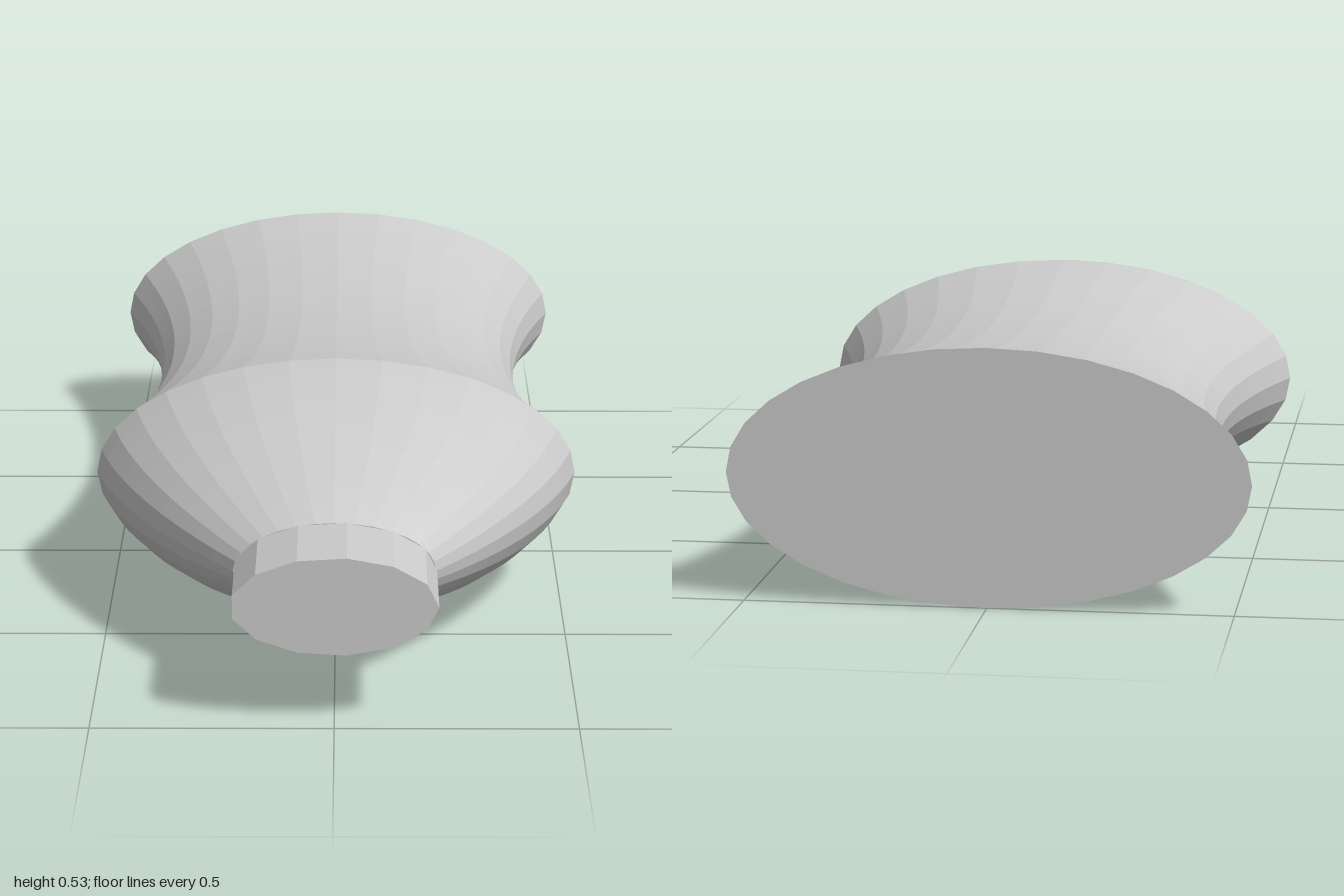
import * as THREE from 'three';

const material = new THREE.MeshStandardMaterial({ color: 0xcccccc, flatShading: true });

// Flattened lathe lying along z; points are [radius, z] from back to front
function flatLathe(name, points, sides) {
  const geometry = new THREE.LatheGeometry(points.map(([r, z]) => new THREE.Vector2(r, z)), sides, Math.PI / 2);
  geometry.rotateX(Math.PI / 2);
  geometry.scale(1, 0.5, 1);
  geometry.translate(0, 0.267, 0);
  const mesh = new THREE.Mesh(geometry, material);
  mesh.name = name;
  return mesh;
}

export function createModel() {
  const group = new THREE.Group();
  group.name = 'flatBottle';

  // Body: flat base, waisted length, then a rounded shoulder
  const body = [[0, -1]];
  const steps = 14;
  for (let i = 0; i <= steps; i++) {
    const t = (i / steps) * 2 - 1;
    body.push([0.423 + 0.11 * t * t, -0.4 + 0.6 * t]);
  }
  for (let i = 1; i <= 10; i++) {
    const s = i * 0.06;
    body.push([0.533 - 0.25 * s - 0.48 * s * s, 0.2 + s]);
  }
  body.push([0, 0.8]);
  group.add(flatLathe('body', body, 32));

  // Faceted neck with a closed end
  group.add(flatLathe('neck', [[0, 0.78], [0.212, 0.78], [0.212, 1], [0, 1]], 13));

  return group;
}
